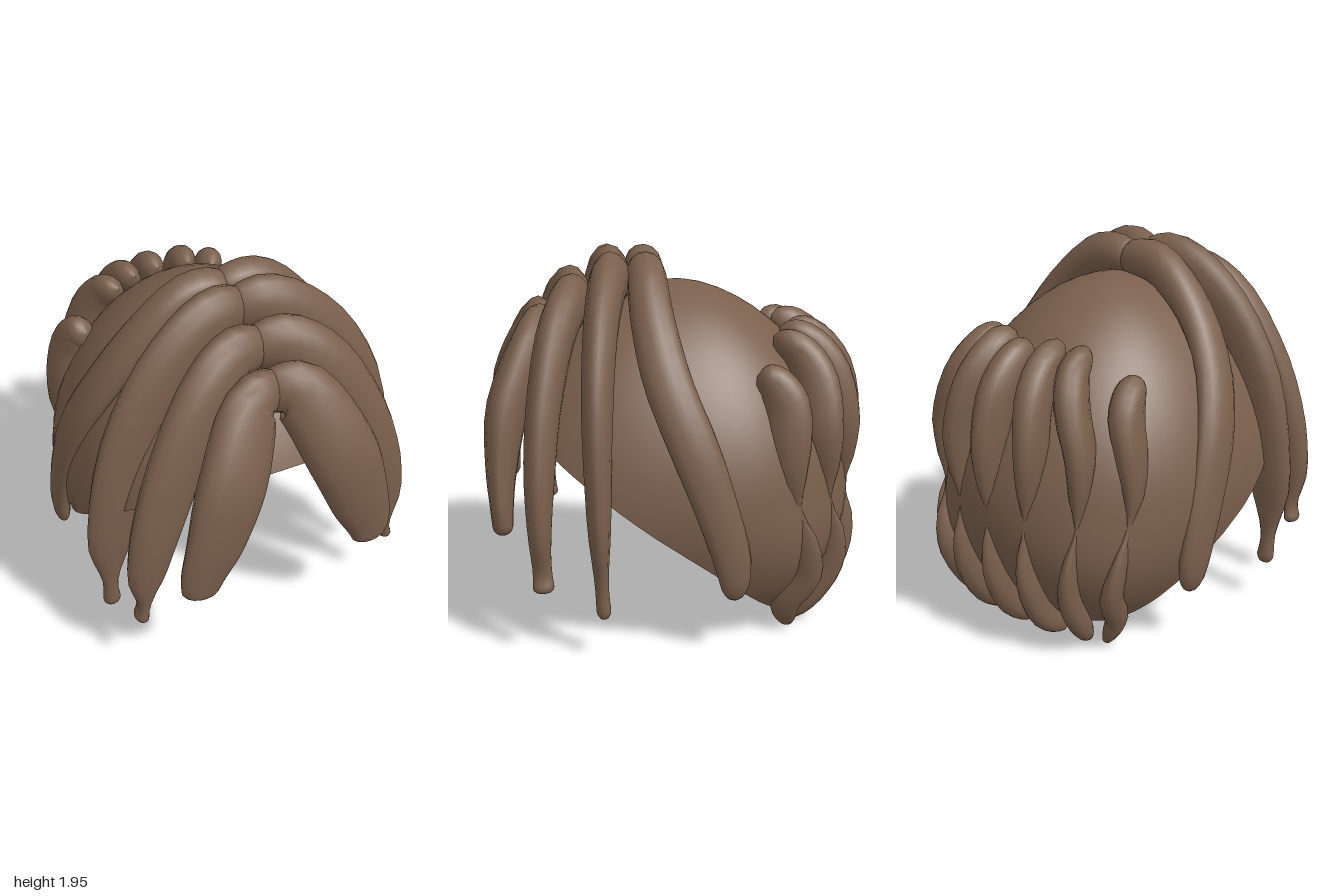
import * as THREE from 'three';
import { toCreasedNormals } from 'three/addons/utils/BufferGeometryUtils.js';

const V = (x, y, z) => new THREE.Vector3(x, y, z);

// Closed-around surface from cross-section loops
function loft(rows, cols, pointAt) {
  const pos = [], idx = [];
  for (let i = 0; i <= rows; i++)
    for (let j = 0; j < cols; j++) pos.push(...pointAt(i, j).toArray());
  for (let i = 0; i < rows; i++)
    for (let j = 0; j < cols; j++) {
      const k = (j + 1) % cols;
      const a = i * cols + j, b = i * cols + k, c = b + cols, d = a + cols;
      idx.push(a, d, b, b, d, c);
    }
  const g = new THREE.BufferGeometry();
  g.setAttribute('position', new THREE.Float32BufferAttribute(pos, 3));
  g.setIndex(idx);
  g.computeVertexNormals();
  return g;
}

// Point on the scalp dome: phi = 0 faces front, theta runs from the crown down
const RX = 0.81, RZ = 0.935, CY = 0.75;
const power = (v, e) => Math.sign(v) * Math.pow(Math.abs(v), e);
function domePoint(phi, theta, s) {
  const up = theta < Math.PI / 2, e = up ? 2 / 1.75 : 1;
  const k = power(Math.sin(theta), e) * s;
  const h = power(Math.cos(theta), e) * s;
  // boxier towards the front and towards the nape
  const q = 2 / (2.3 + 0.3 * Math.cos(phi) + 1.4 * Math.max(0, -Math.cos(theta)));
  return V(RX * k * power(Math.sin(phi), q), CY + (up ? 1.05 : 0.85) * h, RZ * k * power(Math.cos(phi), q));
}

// Depth of the back of the dome at a given x and height
function domeBack(x, y) {
  const k = y > CY
    ? Math.pow(1 - Math.pow((y - CY) / 1.05, 1.75), 1 / 1.75)
    : Math.sqrt(1 - Math.pow((CY - y) / 0.85, 2));
  const p = 2.05 + 1.65 * Math.max(0, CY - y);
  const z = RZ * Math.pow(Math.max(0, Math.pow(k, p) - Math.pow(x / RX, p)), 1 / p);
  return y < CY ? Math.max(z, 0.47) : z;
}

// Polar angle at which the dome meets the slanted hairline
function hairline(phi, s) {
  let lo = 0, hi = Math.PI;
  for (let n = 0; n < 30; n++) {
    const mid = (lo + hi) / 2, p = domePoint(phi, mid, s);
    if (p.y > 0.545 + 0.73 * p.z - 0.3 * Math.min(p.z, 0) ** 2) lo = mid; else hi = mid;
  }
  return lo;
}

// Hollow cap: outer skin, rim, then inner skin
function capGeometry() {
  const half = 24, cols = 64;
  const g = loft(half * 2 + 1, cols, (i, j) => {
    const phi = (j / cols) * Math.PI * 2, outer = i <= half;
    const s = outer ? 1 : 0.965;
    const t = outer ? i / half : (half * 2 + 1 - i) / half;
    return domePoint(phi, Math.max(0.001, t * hairline(phi, s)), s);
  });
  return toCreasedNormals(g, 0.8);
}

// Lock of hair: stations are [x, y, z, half width, half thickness]
function lockGeometry(stations, facing, side = 1) {
  const rows = 28, cols = 14;
  const path = new THREE.CatmullRomCurve3(stations.map(s => V(s[0] * side, s[1], s[2])));
  const size = new THREE.CatmullRomCurve3(stations.map(s => V(s[3], s[4], 0)));
  return loft(rows, cols, (i, j) => {
    const f = i / rows;
    const u = 0.35 * f + 0.65 * (1 - Math.cos(Math.PI * f)) / 2;
    const p = path.getPoint(u), sz = size.getPoint(u), t = path.getTangent(u);
    const b = t.clone().cross(facing(p)).normalize();
    const n = b.clone().cross(t);
    const r = Math.min(1, Math.min(u, 1 - u) / 0.07);
    const round = Math.sqrt(1 - (1 - r) * (1 - r));
    const a = (j / cols) * Math.PI * 2;
    return p.addScaledVector(b, Math.cos(a) * sz.x * round)
      .addScaledVector(n, Math.sin(a) * sz.y * round);
  });
}

const forward = () => V(0, 0, 1);
const outward = p => V(p.x / RX, (p.y - CY) * 0.9, p.z / RZ).normalize();

const frontLocks = [
  ['fringeLock', forward, [
    [-0.06, 1.52, 0.66, 0.1, 0.08], [0.11, 1.54, 0.73, 0.16, 0.1], [0.3, 1.21, 0.88, 0.19, 0.11],
    [0.41, 0.9, 0.92, 0.165, 0.08], [0.475, 0.72, 0.92, 0.13, 0.06], [0.5, 0.58, 0.915, 0.09, 0.05]]],
  ['templeLock', forward, [
    [-0.06, 1.65, 0.51, 0.11, 0.08], [0.12, 1.71, 0.55, 0.15, 0.1], [0.3, 1.6, 0.62, 0.155, 0.1],
    [0.5, 1.28, 0.69, 0.155, 0.09], [0.63, 0.95, 0.72, 0.14, 0.08], [0.7, 0.65, 0.725, 0.105, 0.06],
    [0.72, 0.44, 0.715, 0.03, 0.05], [0.735, 0.35, 0.71, 0.045, 0.06]]],
  ['cheekLock', forward, [
    [-0.06, 1.77, 0.3, 0.11, 0.08], [0.14, 1.82, 0.35, 0.15, 0.1], [0.41, 1.64, 0.4, 0.155, 0.09],
    [0.65, 1.25, 0.43, 0.15, 0.08], [0.765, 0.7, 0.43, 0.13, 0.06], [0.775, 0.37, 0.42, 0.04, 0.035],
    [0.765, 0.22, 0.41, 0.055, 0.04]]],
  ['sideLock', outward, [
    [-0.06, 1.84, 0.16, 0.09, 0.09], [0.18, 1.85, 0.16, 0.1, 0.11], [0.42, 1.68, 0.145, 0.11, 0.09],
    [0.63, 1.4, 0.08, 0.12, 0.07], [0.75, 1.1, -0.04, 0.12, 0.06], [0.79, 0.8, -0.15, 0.11, 0.05],
    [0.79, 0.5, -0.235, 0.095, 0.05], [0.77, 0.3, -0.25, 0.06, 0.04]]],
];

// Back lock profile: [height, offset from dome, half width, half thickness]
const backProfile = [
  [1.55, 0.05, 0.06, 0.08], [1.47, 0.12, 0.08, 0.1], [1.32, 0.1, 0.085, 0.12], [1.1, 0.03, 0.075, 0.12],
  [0.9, -0.02, 0.05, 0.08], [0.72, -0.06, 0.015, 0.05], [0.52, -0.01, 0.04, 0.075],
  [0.35, 0.03, 0.055, 0.085], [0.18, 0.07, 0.055, 0.08], [0.02, 0.09, 0.035, 0.05],
];
// For each lock outwards from the middle: shift of its top, facing angle, x along the profile
const backLocks = [
  [0, 0, Array(10).fill(0)],
  [0.02, 0.23, [0.16, 0.18, 0.21, 0.24, 0.235, 0.22, 0.22, 0.22, 0.21, 0.2]],
  [0, 0.45, [0.28, 0.32, 0.38, 0.45, 0.46, 0.45, 0.44, 0.42, 0.4, 0.37]],
  [-0.15, 0.33, [0.52, 0.54, 0.57, 0.61, 0.64, 0.63, 0.62, 0.58, 0.53, 0.47]],
];

function backStations([shift, , xs]) {
  return backProfile.map(([y0, off, w, t], n) => {
    const y = y0 + (n < 3 ? shift * (1 - n * 0.3) : 0);
    return [xs[n], y, -domeBack(xs[n], y) - off, w, t];
  });
}

export function createModel() {
  const model = new THREE.Group();
  model.name = 'hair';
  const brown = new THREE.MeshStandardMaterial({ color: 0x7a5f4c });
  brown.name = 'brown hair';

  const add = (name, geometry) => {
    const mesh = new THREE.Mesh(geometry, brown);
    mesh.name = name;
    model.add(mesh);
  };

  add('cap', capGeometry());

  // Parted locks, mirrored about the centre
  for (const [name, facing, stations] of frontLocks)
    for (const side of [1, -1])
      add((side > 0 ? 'left ' : 'right ') + name, lockGeometry(stations, facing, side));

  // Fan of locks around the back
  backLocks.forEach((lock, i) => {
    for (const side of i ? [1, -1] : [1]) {
      const a = lock[1] * side;
      add((i ? (side > 0 ? 'left ' : 'right ') : 'middle ') + 'backLock' + i,
        lockGeometry(backStations(lock), () => V(Math.sin(a), 0, -Math.cos(a)), side));
    }
  });

  return model;
}
